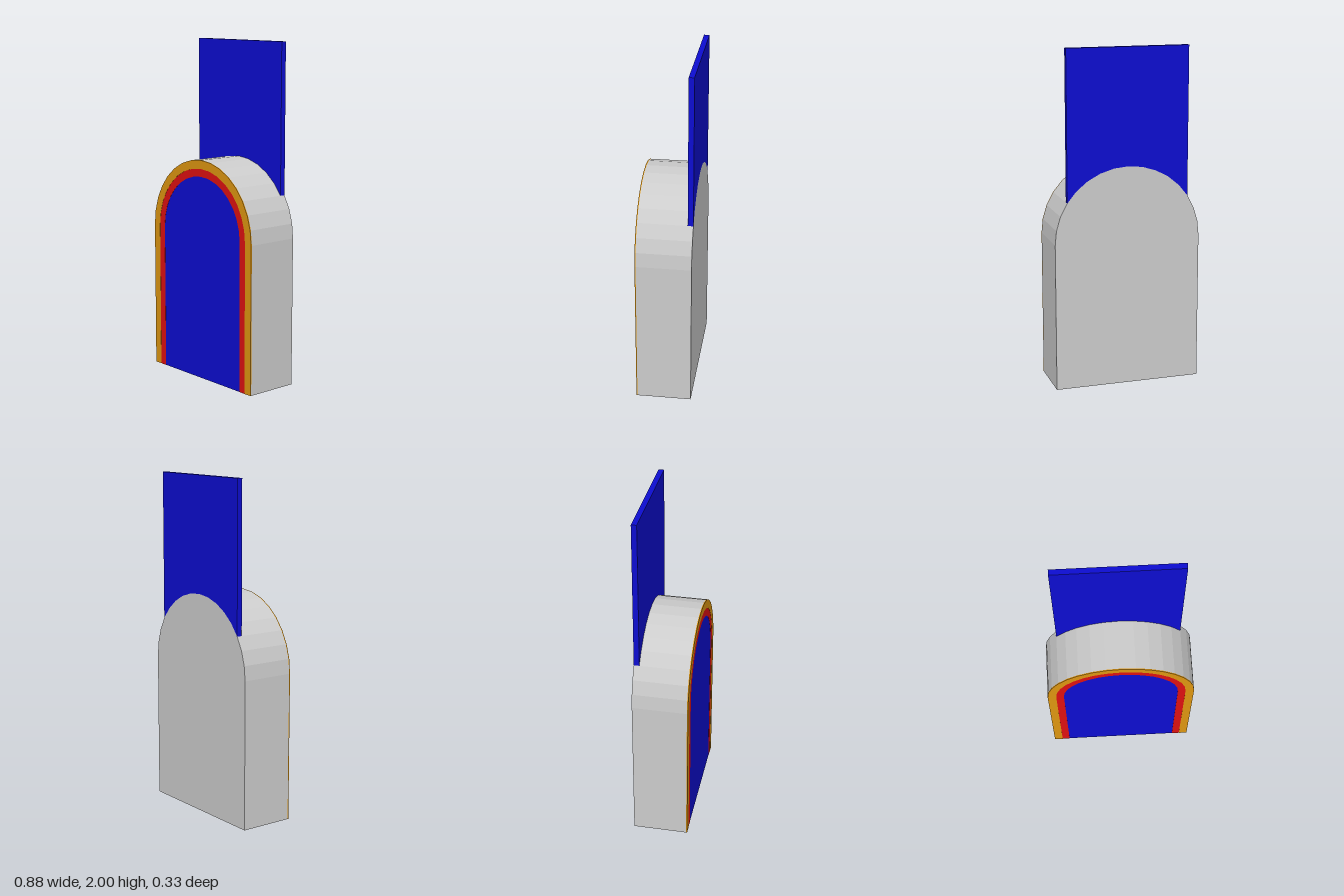
import * as THREE from 'three';

const SPRING = 0.877; // height where the arch begins to curve
const SEGMENTS = 16;
const R_OUTER = 0.438, R_MIDDLE = 0.387, R_INNER = 0.341;
const BACK = -0.163, FRONT = 0.163, TRIM_BACK = 0.157;

// Points on the arch curve, from right (+x) over the top to left, between two segment indices
function arc(radius, from = 0, to = SEGMENTS) {
  const points = [];
  for (let i = from; i <= to; i++) {
    const a = (i / SEGMENTS) * Math.PI;
    points.push(new THREE.Vector2(radius * Math.cos(a), SPRING + radius * Math.sin(a)));
  }
  return points;
}

// Round-topped outline standing on the ground
function arch(radius) {
  return [new THREE.Vector2(radius, 0), ...arc(radius), new THREE.Vector2(-radius, 0)];
}

function slab(name, points, z0, z1, color) {
  const geometry = new THREE.ExtrudeGeometry(new THREE.Shape(points), { depth: z1 - z0, bevelEnabled: false });
  geometry.translate(0, 0, z0);
  const mesh = new THREE.Mesh(geometry, new THREE.MeshStandardMaterial({ color, flatShading: true }));
  mesh.name = name;
  return mesh;
}

export function createModel() {
  const group = new THREE.Group();
  group.name = 'archedPanel';

  // Solid grey body
  group.add(slab('body', arch(R_OUTER), BACK, TRIM_BACK, 0xcccccc));

  // Nested trim bands and centre panel on the front
  const band = (outer, inner) => [...arch(outer), ...arch(inner).reverse()];
  group.add(slab('outerTrim', band(R_OUTER, R_MIDDLE), TRIM_BACK, FRONT, 0xdd9511));
  group.add(slab('innerTrim', band(R_MIDDLE, R_INNER), TRIM_BACK, FRONT - 0.001, 0xdd1111));
  group.add(slab('frontPanel', arch(R_INNER), TRIM_BACK, FRONT - 0.002, 0x0d0dd0));

  // Tall back board, its lower edge fitted to the top of the arch
  const seat = arc(R_OUTER, 3, SEGMENTS - 3);
  const halfWidth = seat[0].x;
  const board = [new THREE.Vector2(halfWidth, 2), new THREE.Vector2(-halfWidth, 2), ...seat.reverse()];
  group.add(slab('backBoard', board, BACK, -0.131, 0x0d0dd0));

  return group;
}
